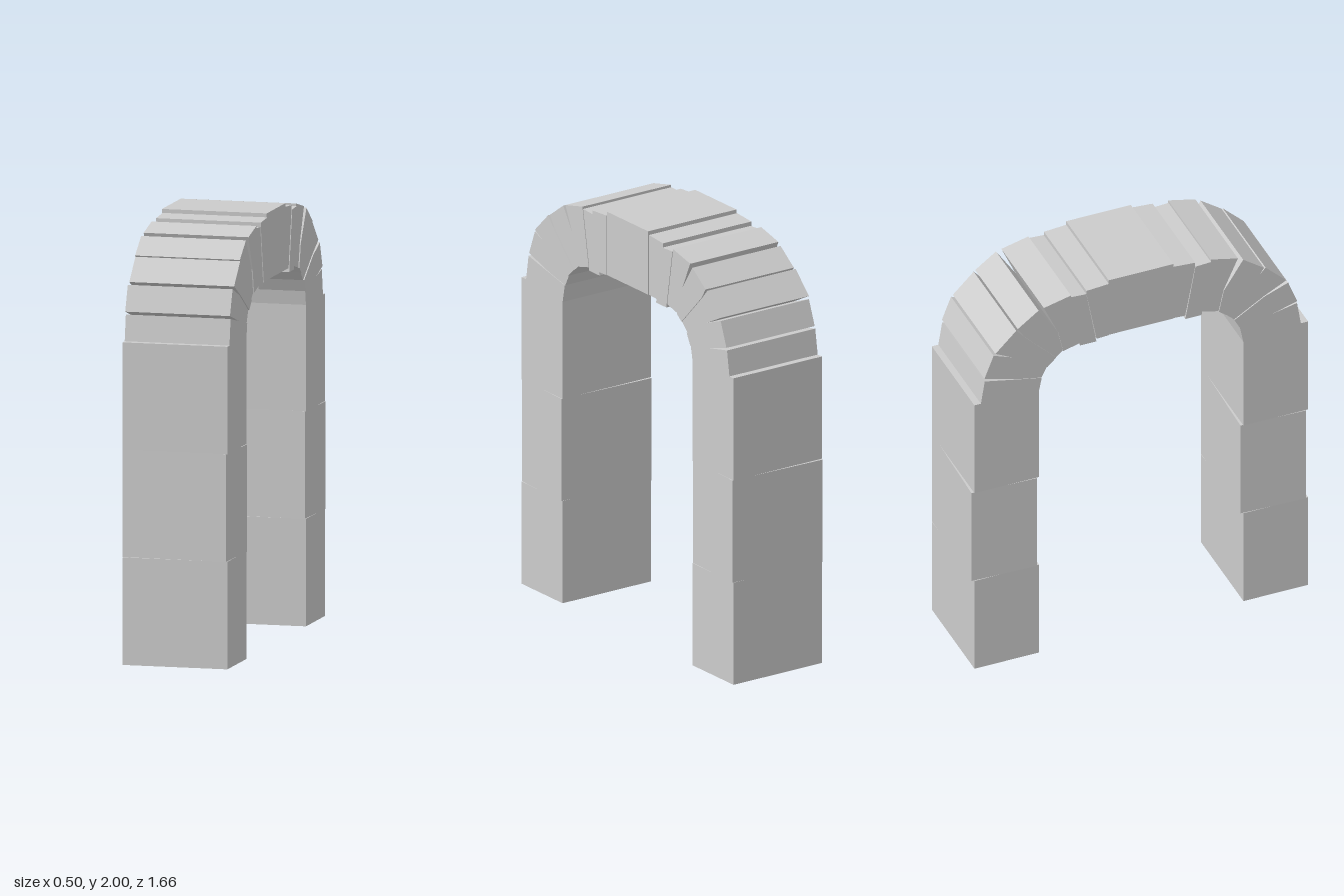
import * as THREE from 'three';

const WIDTH = 0.495;
const material = new THREE.MeshStandardMaterial({ color: 0xcccccc, flatShading: true });

// Joints between arch stones as [z, y]: outer corner below the gap, gap tip,
// outer corner above the gap, inner corner below, inner corner above.
const JOINTS = [
  [[0.795, 1.46], [0.795, 1.46], [0.795, 1.46], [0.507, 1.46], [0.507, 1.46]],
  [[0.772, 1.605], [0.61, 1.57], [0.772, 1.618], [0.49, 1.545], [0.49, 1.545]],
  [[0.727, 1.735], [0.61, 1.69], [0.72, 1.747], [0.462, 1.6], [0.462, 1.6]],
  [[0.617, 1.848], [0.575, 1.8], [0.608, 1.852], [0.42, 1.64], [0.42, 1.64]],
  [[0.505, 1.927], [0.41, 1.78], [0.481, 1.938], [0.385, 1.668], [0.385, 1.668]],
  [[0.347, 1.97], [0.347, 1.958], [0.347, 1.958], [0.3, 1.69], [0.3, 1.673]],
  [[0.27, 1.954], [0.27, 1.954], [0.27, 1.974], [0.22, 1.673], [0.22, 1.69]],
  [[0.16, 1.982], [0.16, 1.9], [0.16, 1.982], [0.16, 1.693], [0.16, 1.693]],
];
// Small sideways offsets that make the masonry uneven
const OFFSETS = [0, -0.003, 0.002, -0.002, 0.003, 0, 0.003];

function box(name, w, h, d, x, y, z, turn = 0) {
  const mesh = new THREE.Mesh(new THREE.BoxGeometry(w, h, d), material);
  mesh.name = name;
  mesh.position.set(x, y, z);
  mesh.rotation.y = turn;
  return mesh;
}

// Wedge stone between two joints; side is +1 for front, -1 for back
function archStone(a, b, side, offset) {
  const outline = [a[2], b[0], b[1], b[3], a[4], a[1]];
  const points = outline
    .filter((p, i) => {
      const q = outline[(i + 1) % outline.length];
      return p[0] !== q[0] || p[1] !== q[1];
    })
    .map(([z, y]) => new THREE.Vector2(z * side + 0.003, y));
  const geometry = new THREE.ExtrudeGeometry(new THREE.Shape(points), { depth: WIDTH, bevelEnabled: false });
  geometry.rotateY(-Math.PI / 2);
  geometry.translate(WIDTH / 2 - 0.0025 + offset, 0, 0);
  const mesh = new THREE.Mesh(geometry, material);
  mesh.name = 'archStone';
  return mesh;
}

export function createModel() {
  const model = new THREE.Group();
  model.name = 'stoneArch';

  for (const side of [1, -1]) {
    // Pillar of three blocks, the middle one slightly turned
    const pillar = new THREE.Group();
    pillar.name = side > 0 ? 'frontPillar' : 'backPillar';
    const z = side > 0 ? 0.67 : -0.66;
    pillar.add(
      box('lowerBlock', WIDTH, 0.495, 0.32, -0.0025, 0.2475, z),
      box('middleBlock', WIDTH, 0.495, 0.32, -0.0025, 0.7425, z - 0.005, -0.03),
      box('upperBlock', WIDTH, 0.495, 0.32, -0.0025, 1.2375, z),
    );
    model.add(pillar);

    // Curved half of the arch
    const curve = new THREE.Group();
    curve.name = side > 0 ? 'frontCurve' : 'backCurve';
    for (let i = 0; i < JOINTS.length - 1; i++) {
      curve.add(archStone(JOINTS[i], JOINTS[i + 1], side, OFFSETS[i] * side));
    }
    model.add(curve);
  }

  // Raised stone at the crown
  model.add(box('keystone', WIDTH, 0.307, 0.32, -0.0025, 1.8465, 0.004));
  return model;
}
